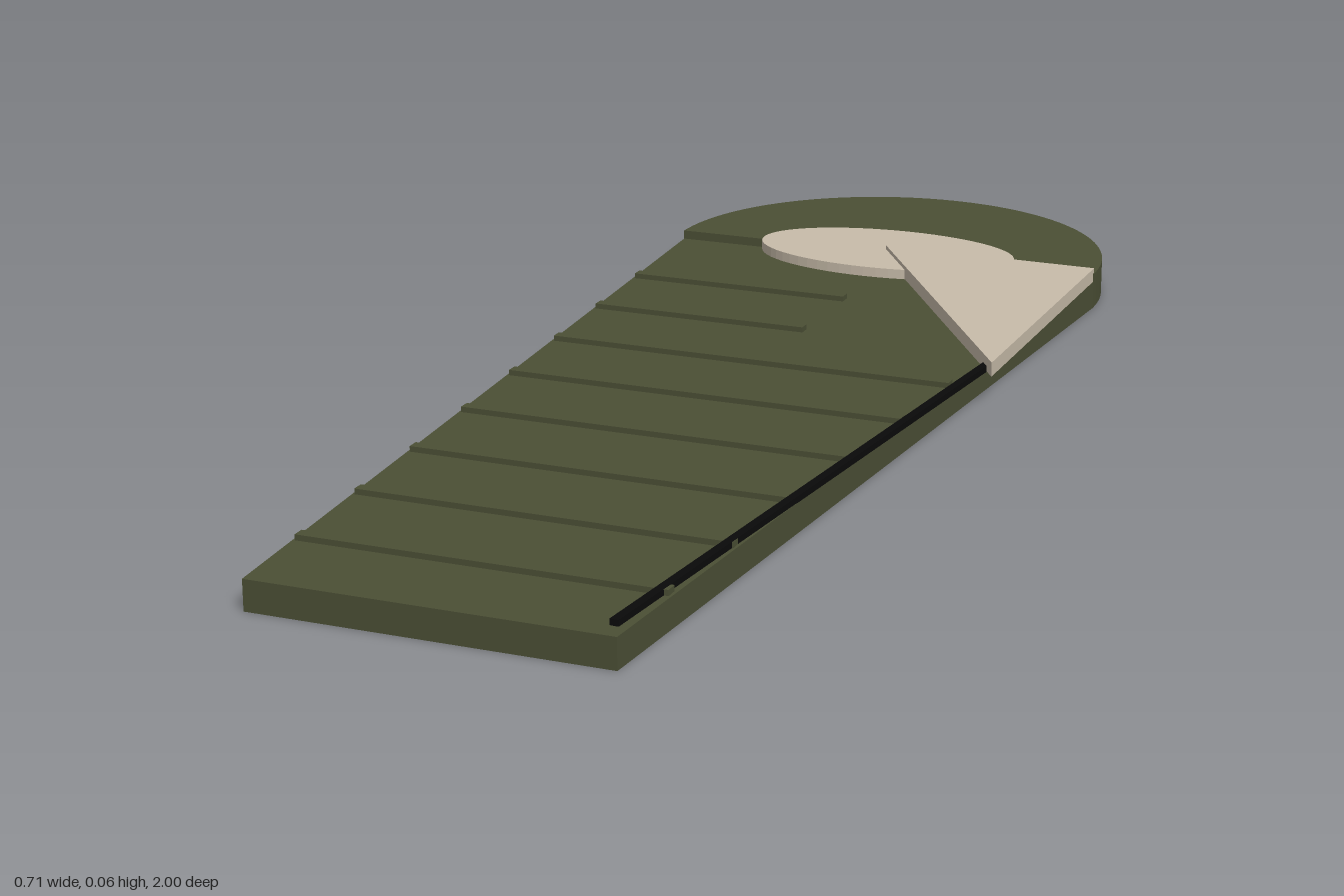
import * as THREE from 'three';

const material = (name, color) => {
  const m = new THREE.MeshStandardMaterial({ color });
  m.name = name;
  return m;
};

export function createModel() {
  const group = new THREE.Group();
  group.name = 'sleepingBag';
  const olive = material('olive fabric', 0x4b4f35);
  const lining = material('beige lining', 0xc8bcaa);
  const black = material('black zip', 0x0a0a0a);

  const add = (name, geometry, mat) => {
    const mesh = new THREE.Mesh(geometry, mat);
    mesh.name = name;
    group.add(mesh);
    return mesh;
  };

  // Flat slab from a plan outline (shape y is -z), between two heights
  const slab = (name, shape, bottom, top, mat) => {
    const g = new THREE.ExtrudeGeometry(shape, { depth: top - bottom, bevelEnabled: false, curveSegments: 32 });
    g.rotateX(-Math.PI / 2).translate(0, bottom, 0);
    return add(name, g, mat);
  };
  const polygon = (points) => new THREE.Shape(points.map(([x, z]) => new THREE.Vector2(x, -z)));

  const headZ = -0.645, headHalf = 0.355, footHalf = 0.25;
  const halfWidthAt = (z) => THREE.MathUtils.mapLinear(z, headZ, 1, headHalf, footHalf);

  // Tapered body
  slab('body', polygon([[-footHalf, 1], [footHalf, 1], [headHalf, headZ], [-headHalf, headZ]]), 0, 0.043, olive);

  // Half-round hood
  const hood = new THREE.Shape();
  hood.absarc(0, -headZ, headHalf, 0, Math.PI, false);
  hood.closePath();
  slab('hood', hood, 0, 0.057, olive);

  // Quilting ridges; the two next to the opening reach only to the middle
  for (let i = 0; i < 8; i++) {
    const z = 0.85 - i * 0.179;
    const left = -halfWidthAt(z) + 0.004;
    const right = i < 6 ? -left : 0.02;
    const ridge = add('quiltRidge', new THREE.BoxGeometry(right - left, 0.011, 0.018), olive);
    ridge.position.set((left + right) / 2, 0.0455, z);
  }

  // Oval pillow
  const pillow = new THREE.Shape();
  pillow.absellipse(0, 0.658, 0.215, 0.115, 0, Math.PI * 2, false);
  slab('pillow', pillow, 0.04, 0.0585, lining);

  // Folded-back triangular flap
  slab('openFlap', polygon([[0, -0.655], [0.354, -0.11], [0.354, -0.65]]), 0.0435, 0.065, lining);

  // Zip along the model's left edge
  const from = new THREE.Vector3(0.233, 0.047, 0.97);
  const to = new THREE.Vector3(0.335, 0.047, -0.15);
  const zip = add('zip', new THREE.BoxGeometry(0.012, 0.009, from.distanceTo(to)), black);
  zip.position.copy(from).add(to).multiplyScalar(0.5);
  zip.lookAt(to);

  return group;
}
